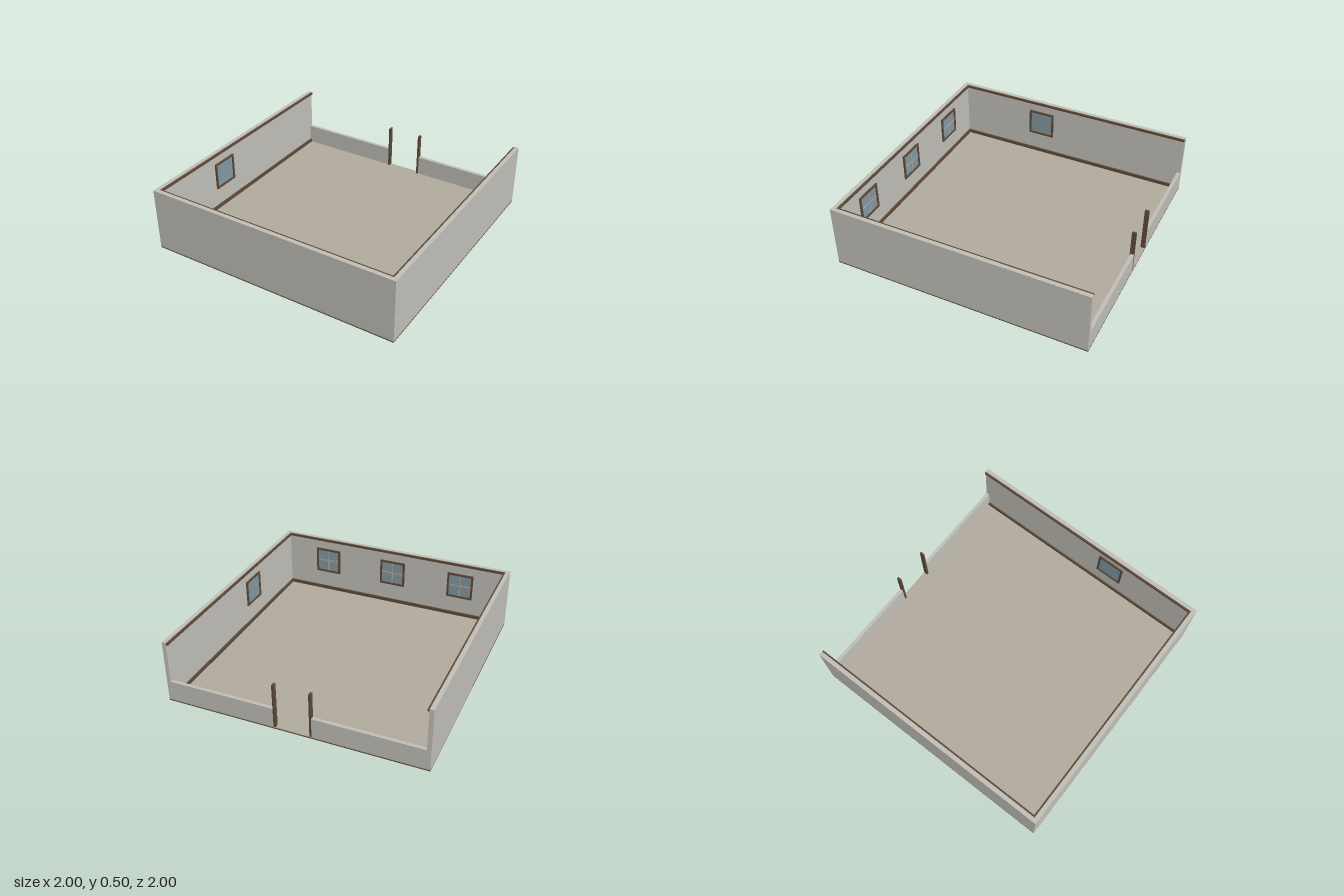
import * as THREE from 'three';

const mat = (color) => new THREE.MeshStandardMaterial({ color });

export function createModel() {
  const model = new THREE.Group();
  const wallMat = mat(0xbfbdb6), floorMat = mat(0xb0a99c), woodMat = mat(0x5c4a38);
  const glassMat = mat(0x8296a0), barMat = mat(0xa9a59c);

  // Box given by its minimum and maximum corners
  function block(parent, name, material, [x0, y0, z0], [x1, y1, z1]) {
    const mesh = new THREE.Mesh(new THREE.BoxGeometry(x1 - x0, y1 - y0, z1 - z0), material);
    mesh.position.set((x0 + x1) / 2, (y0 + y1) / 2, (z0 + z1) / 2);
    mesh.name = name;
    parent.add(mesh);
    return mesh;
  }

  const FLOOR = 0.015, TOP = 0.5, INNER = 0.968, TRIM = 0.955;

  // Floor slab with a thin dark edge under the walls
  block(model, 'floorBase', woodMat, [-1, 0, -1], [1, 0.008, 1]);
  block(model, 'floor', floorMat, [-1, 0.008, -1], [1, FLOOR, 1]);

  // Full-height walls: the front and both sides
  block(model, 'frontWall', wallMat, [-INNER, FLOOR, INNER], [INNER, TOP, 1]);
  block(model, 'rightWall', wallMat, [-1, FLOOR, -1], [-INNER, TOP, 1]);
  block(model, 'leftWall', wallMat, [INNER, FLOOR, -1], [1, TOP, 1]);

  // Baseboard and top moulding round the inside of those walls
  for (const [name, y0, y1] of [['baseboard', FLOOR, 0.042], ['topMoulding', 0.48, 0.498]]) {
    block(model, name + 'Front', woodMat, [-INNER, y0, TRIM], [INNER, y1, INNER]);
    block(model, name + 'Right', woodMat, [-INNER, y0, -0.998], [-TRIM, y1, TRIM]);
    block(model, name + 'Left', woodMat, [TRIM, y0, -0.998], [INNER, y1, TRIM]);
  }

  // Low back wall in two halves, with a door post beside the opening
  for (const s of [-1, 1]) {
    const side = s < 0 ? 'Right' : 'Left';
    const span = s < 0 ? [-INNER, -0.146] : [0.146, INNER];
    block(model, 'lowBackWall' + side, wallMat, [span[0], FLOOR, -1], [span[1], 0.17, -0.973]);
    const post = s < 0 ? [-0.146, -0.13] : [0.13, 0.146];
    block(model, 'doorPost' + side, woodMat, [post[0], FLOOR, -1], [post[1], 0.37, -0.967]);
  }

  // Window: wooden frame, pane and optional cross bars, facing +z
  function makeWindow(name, crossed) {
    const g = new THREE.Group();
    g.name = name;
    const h = 0.11, f = 0.016, d = 0.012;
    for (const s of [-1, 1]) {
      const outer = s * h, inner = s * (h - f);
      const a = Math.min(outer, inner), b = Math.max(outer, inner);
      block(g, 'frameRail', woodMat, [-h, a, 0], [h, b, d]);
      block(g, 'frameStile', woodMat, [a, -h + f, 0], [b, h - f, d]);
    }
    block(g, 'pane', glassMat, [-h + f, -h + f, 0], [h - f, h - f, 0.004]);
    if (crossed) {
      block(g, 'uprightBar', barMat, [-0.005, -h + f, 0.004], [0.005, h - f, 0.009]);
      block(g, 'crossBar', barMat, [-h + f, -0.005, 0.004], [h - f, 0.005, 0.008]);
    }
    model.add(g);
    return g;
  }

  // Three windows on the front wall, one on each side wall
  for (const x of [-0.6, 0, 0.6]) {
    const w = makeWindow('frontWindow', true);
    w.position.set(x, 0.295, INNER);
    w.rotation.y = Math.PI;
  }
  for (const s of [-1, 1]) {
    const w = makeWindow(s < 0 ? 'rightWindow' : 'leftWindow', false);
    w.position.set(s * INNER, 0.3, 0.25);
    w.rotation.y = -s * Math.PI / 2;
  }

  return model;
}
